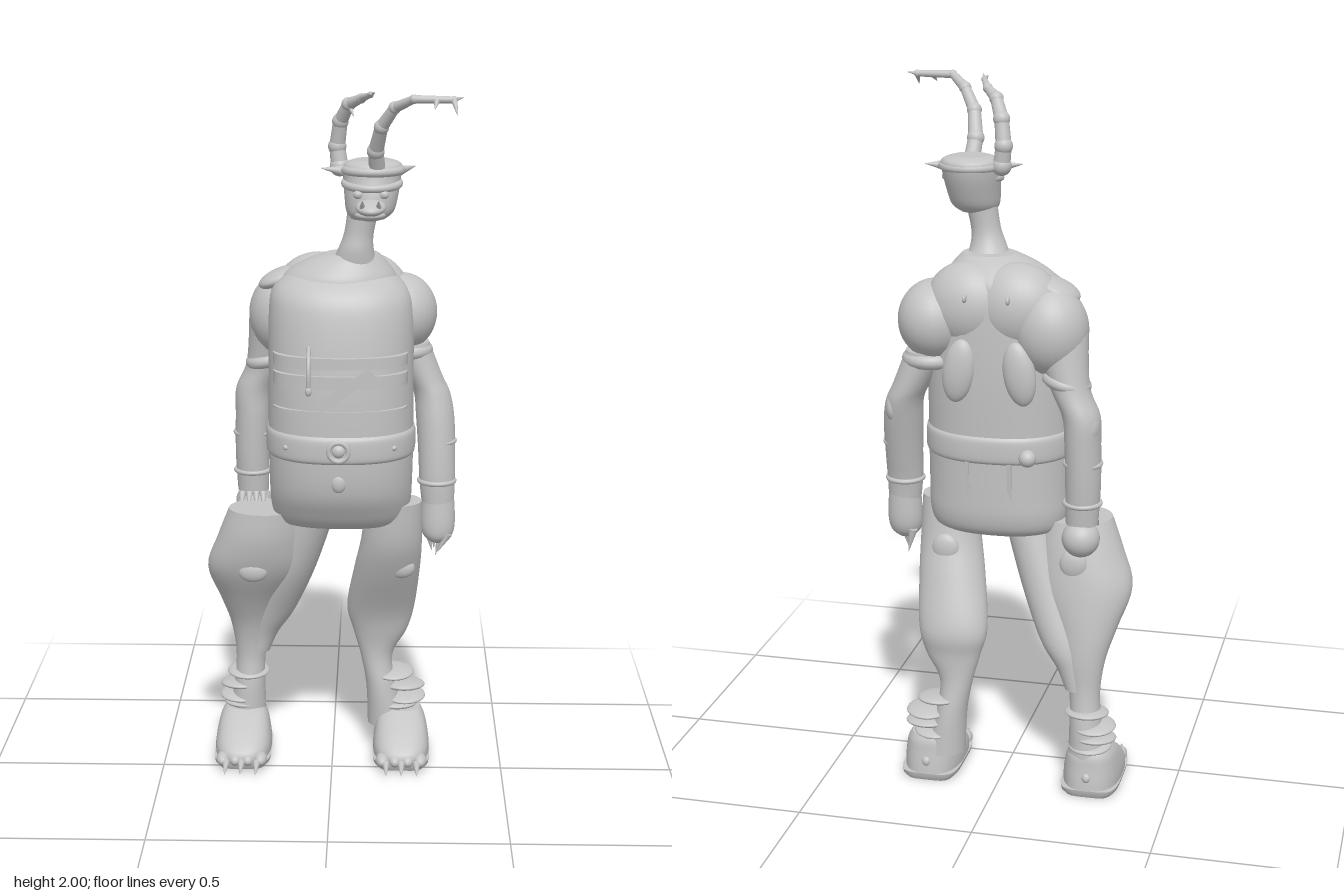
import * as THREE from 'three';

const V = (p) => new THREE.Vector3(p[0], p[1], p[2]);

// Closed body from cross-sections [y, centreX, centreZ, radiusX, radiusZ], rising in y
function loft(sections, power = 2, steps = 5, sides = 40) {
  const axis = [0, 1, 2, 3, 4];
  const rows = [];
  for (let i = 0; i < sections.length - 1; i++) {
    const s = [i - 1, i, i + 1, i + 2].map((k) => sections[Math.min(sections.length - 1, Math.max(0, k))]);
    for (let k = 0; k < steps; k++) {
      const t = k / steps;
      rows.push(axis.map((a) => {
        const m0 = (s[2][a] - s[0][a]) / 2, m1 = (s[3][a] - s[1][a]) / 2, d = s[2][a] - s[1][a];
        return s[1][a] + t * (m0 + t * (3 * d - 2 * m0 - m1 + t * (m0 + m1 - 2 * d)));
      }));
    }
  }
  rows.push(sections[sections.length - 1]);
  const pos = [], index = [];
  const round = (v) => Math.sign(v) * Math.abs(v) ** (2 / power);
  const ring = ([y, cx, cz, rx, rz]) => {
    for (let j = 0; j < sides; j++) {
      const a = (j / sides) * Math.PI * 2;
      pos.push(cx + rx * round(Math.cos(a)), y, cz + rz * round(Math.sin(a)));
    }
  };
  rows.forEach(ring);
  for (let i = 0; i < rows.length - 1; i++) for (let j = 0; j < sides; j++) {
    const a = i * sides + j, b = i * sides + ((j + 1) % sides);
    index.push(a, a + sides, b, b, a + sides, b + sides);
  }
  [rows[0], rows[rows.length - 1]].forEach((r, top) => {
    const base = pos.length / 3;
    ring(r);
    pos.push(r[1], r[0], r[2]);
    for (let j = 0; j < sides; j++) {
      const a = base + j, b = base + ((j + 1) % sides);
      index.push(base + sides, top ? b : a, top ? a : b);
    }
  });
  const g = new THREE.BufferGeometry();
  g.setAttribute('position', new THREE.Float32BufferAttribute(pos, 3));
  g.setIndex(index);
  g.computeVertexNormals();
  return g;
}

export function createModel() {
  const model = new THREE.Group();
  model.name = 'hornedCreature';
  const clay = new THREE.MeshStandardMaterial({ color: 0xc4c4c4 });
  clay.name = 'clay grey';

  const add = (name, geo, at = [0, 0, 0], rot = [0, 0, 0], scale = [1, 1, 1]) => {
    const m = new THREE.Mesh(geo, clay);
    m.name = name;
    m.position.set(...at);
    m.rotation.set(...rot);
    m.scale.set(...scale);
    model.add(m);
    return m;
  };
  const ball = (name, at, r, rot) => add(name, new THREE.SphereGeometry(1, 28, 20), at, rot, r);
  // Tapered segment between two points
  const bone = (name, p, q, r1, r2) => {
    const a = V(p), b = V(q), d = b.clone().sub(a);
    const m = add(name, new THREE.CylinderGeometry(r2, r1, d.length(), 16), a.clone().add(b).multiplyScalar(0.5).toArray());
    m.quaternion.setFromUnitVectors(new THREE.Vector3(0, 1, 0), d.normalize());
  };
  const claw = (name, p, q, r) => bone(name, p, q, r, 0.001);
  const hoop = (name, at, r, tube, rot = [Math.PI / 2, 0, 0]) =>
    add(name, new THREE.TorusGeometry(r, tube, 10, 36), at, rot);

  // Trunk, collar and back
  add('torso', loft([
    [0.745, 0.025, -0.065, 0.155, 0.085], [0.765, 0.025, -0.055, 0.186, 0.125], [0.81, 0.025, -0.045, 0.2, 0.15],
    [0.88, 0.025, -0.03, 0.204, 0.168], [1.0, 0.025, -0.025, 0.206, 0.175], [1.2, 0.025, -0.03, 0.205, 0.178],
    [1.37, 0.025, -0.04, 0.204, 0.165], [1.44, 0.022, -0.05, 0.188, 0.145], [1.485, 0.02, -0.06, 0.14, 0.1],
  ], 2.3));
  add('collar', loft([
    [1.42, 0.02, -0.06, 0.17, 0.13], [1.47, 0.02, -0.06, 0.16, 0.125],
    [1.51, 0.035, -0.055, 0.118, 0.095], [1.535, 0.055, -0.045, 0.075, 0.065],
  ]));
  add('neck', loft([
    [1.5, 0.062, -0.035, 0.068, 0.065], [1.55, 0.066, -0.015, 0.05, 0.05],
    [1.6, 0.075, -0.01, 0.041, 0.041], [1.68, 0.09, -0.01, 0.045, 0.045],
  ]));
  for (const s of [-1, 1]) {
    ball('upperBack', [0.025 + s * 0.065, 1.4, -0.115], [0.13, 0.125, 0.1]);
    ball('backPad', [0.02 + s * 0.085, 1.235, -0.2], [0.045, 0.09, 0.028], [0, 0, s * 0.15]);
    add('backStrip', new THREE.BoxGeometry(0.012, 0.13, 0.008), [0.025 + s * 0.06, 0.91, -0.192], [-0.1, 0, 0]);
    ball('backStud', [0.025 + s * 0.06, 1.44, -0.21], [0.006, 0.012, 0.012]);
  }
  ball('shoulderPad', [-0.15, 1.455, -0.1], [0.065, 0.025, 0.065], [0, 0, 0.4]);

  // Belt with buckle and studs
  add('belt', loft([
    [0.972, 0.025, -0.025, 0.206, 0.176], [0.985, 0.025, -0.025, 0.212, 0.184],
    [1.035, 0.025, -0.025, 0.212, 0.184], [1.05, 0.025, -0.025, 0.206, 0.176],
  ], 2.3));
  hoop('buckle', [0.022, 1.012, 0.163], 0.027, 0.007, [0, 0, 0]);
  ball('buckleBoss', [0.022, 1.012, 0.157], [0.018, 0.018, 0.012]);
  ball('navelStud', [0.022, 0.915, 0.139], [0.021, 0.027, 0.012]);
  for (const s of [-1, 1]) ball('beltStud', [0.025 + s * 0.15, 1.012, 0.11], [0.009, 0.009, 0.012]);
  ball('beltKnob', [-0.09, 1.0, -0.21], [0.024, 0.024, 0.024]);

  // Chest straps over the front only, diagonal strap and hook
  for (const [y, h] of [[1.258, 0.032], [1.205, 0.036], [1.12, 0.008]]) {
    add('chestStrap', loft([[y - h / 2, 0.025, 0.055, 0.188, 0.1], [y + h / 2, 0.025, 0.055, 0.188, 0.1]], 2.2, 1));
  }
  add('diagonalStrap', new THREE.BoxGeometry(0.18, 0.03, 0.01), [0.04, 1.185, 0.155], [0, 0, 0.62]);
  const hookPath = [[-0.06, 1.3, 0.13], [-0.06, 1.28, 0.17], [-0.06, 1.24, 0.188], [-0.06, 1.19, 0.186]].map(V);
  add('hook', new THREE.TubeGeometry(new THREE.CatmullRomCurve3(hookPath), 20, 0.006, 8));
  ball('hookTip', [-0.06, 1.19, 0.186], [0.009, 0.014, 0.009]);

  // Head: skull, snout, jaw, brow and brim
  add('skull', loft([
    [1.64, 0.1, 0.005, 0.048, 0.05], [1.66, 0.105, 0.0, 0.066, 0.072], [1.7, 0.108, -0.01, 0.074, 0.082],
    [1.75, 0.11, -0.025, 0.08, 0.084], [1.785, 0.112, -0.03, 0.08, 0.08], [1.798, 0.112, -0.03, 0.05, 0.05],
  ]));
  ball('snout', [0.107, 1.68, 0.075], [0.042, 0.02, 0.057], [0.15, 0, 0]);
  ball('jaw', [0.105, 1.655, 0.04], [0.045, 0.018, 0.045]);
  hoop('brim', [0.112, 1.77, -0.025], 0.078, 0.012);
  hoop('browRidge', [0.11, 1.735, -0.01], 0.075, 0.011, [Math.PI / 2 + 0.1, 0, 0]);
  for (const s of [-1, 1]) {
    ball('eye', [0.108 + s * 0.035, 1.712, 0.06], [0.014, 0.012, 0.01]);
    claw('earSpike', [0.11 + s * 0.065, 1.765, -0.02], [0.1 + s * 0.13, 1.775, s > 0 ? -0.065 : -0.01], 0.018);
    claw('tusk', [0.107 + s * 0.022, 1.685, 0.11], [0.107 + s * 0.022, 1.705, 0.133], 0.008);
  }

  // Jointed horns with a fork at the tip
  const horns = [
    [[0.125, 1.77, 0.03], [0.12, 1.83, 0.06], [0.135, 1.9, 0.105], [0.17, 1.955, 0.14], [0.22, 1.983, 0.195], [0.325, 1.982, 0.2]],
    [[0.02, 1.775, -0.05], [0.013, 1.83, -0.055], [0.022, 1.9, -0.04], [0.045, 1.95, -0.005], [0.08, 1.97, 0.04], [0.105, 1.985, 0.1]],
  ];
  horns.forEach((path, h) => {
    const radii = h ? [0.024, 0.022, 0.02, 0.017, 0.012, 0.007] : [0.023, 0.021, 0.018, 0.015, 0.011, 0.009];
    path.forEach((p, i) => {
      ball('hornJoint', p, Array(3).fill(radii[i] * 1.15));
      if (i) bone('hornSegment', path[i - 1], p, radii[i - 1], radii[i]);
    });
    const [x, y, z] = path[5];
    claw('hornTip', path[5], h ? [x, y + 0.005, z + 0.045] : [x + 0.008, y - 0.035, z + 0.045], 0.009);
    claw('hornFork', path[5], h ? [x + 0.012, y + 0.01, z + 0.04] : [x + 0.025, y + 0.005, z - 0.012], 0.007);
    const b = path[3];
    claw('hornThorn', h ? b : [0.28, 1.98, 0.2], h ? [b[0] + 0.015, b[1] - 0.03, b[2] + 0.03] : [0.275, 1.96, 0.225], 0.009);
  });

  // Left arm: round shoulder, cuff, forearm, clawed hand
  ball('leftShoulder', [0.195, 1.355, -0.11], [0.102, 0.112, 0.115]);
  hoop('leftCuff', [0.205, 1.245, -0.115], 0.062, 0.02);
  add('leftArm', loft([
    [0.8, 0.305, -0.058, 0.046, 0.043], [0.87, 0.302, -0.062, 0.051, 0.048], [0.95, 0.3, -0.075, 0.053, 0.056],
    [1.05, 0.295, -0.095, 0.055, 0.064], [1.12, 0.285, -0.11, 0.052, 0.067], [1.17, 0.262, -0.115, 0.052, 0.067],
    [1.27, 0.215, -0.115, 0.06, 0.067],
  ]));
  ball('leftElbow', [0.31, 1.1, -0.125], [0.025, 0.05, 0.045]);
  add('leftHand', loft([
    [0.69, 0.305, -0.05, 0.02, 0.022], [0.71, 0.305, -0.052, 0.042, 0.04],
    [0.75, 0.305, -0.056, 0.05, 0.047], [0.83, 0.305, -0.06, 0.046, 0.043],
  ]));
  // Right arm: set further back, ending in a round fist
  ball('rightShoulder', [-0.135, 1.345, -0.125], [0.105, 0.125, 0.105]);
  hoop('rightCuff', [-0.185, 1.21, -0.148], 0.052, 0.018, [Math.PI / 2, 0.25, 0]);
  add('rightArm', loft([
    [0.81, -0.235, -0.165, 0.045, 0.045], [0.92, -0.237, -0.165, 0.049, 0.056], [1.04, -0.235, -0.165, 0.05, 0.062],
    [1.12, -0.23, -0.165, 0.052, 0.062], [1.2, -0.195, -0.155, 0.055, 0.06], [1.34, -0.165, -0.13, 0.075, 0.07],
  ]));
  ball('rightElbow', [-0.26, 1.09, -0.17], [0.025, 0.05, 0.045]);
  ball('rightFist', [-0.235, 0.77, -0.18], [0.053, 0.053, 0.053]);
  for (const y of [0.87, 0.985]) {
    hoop('leftBracelet', [0.301, y, -0.063 - (y - 0.87) * 0.16], 0.05, 0.007);
    hoop('rightBracelet', [-0.236, y, -0.165], 0.049, 0.007);
  }
  for (let i = 0; i < 4; i++) {
    const x = 0.275 + i * 0.02, z = -0.085 + i * 0.02;
    claw('leftFinger', [x, 0.72, z], [0.29 + i * 0.005, 0.65 + (i % 2) * 0.015, z], 0.013);
    claw('rightFinger', [-0.265 + i * 0.02, 0.81, -0.125], [-0.268 + i * 0.022, 0.775, -0.095], 0.011);
  }

  // Legs
  add('leftLeg', loft([
    [0.08, 0.165, -0.165, 0.06, 0.06], [0.2, 0.145, -0.162, 0.045, 0.055], [0.3, 0.13, -0.16, 0.048, 0.042],
    [0.38, 0.14, -0.155, 0.08, 0.047], [0.46, 0.142, -0.145, 0.1, 0.063], [0.6, 0.16, -0.083, 0.096, 0.076],
    [0.7, 0.172, -0.045, 0.088, 0.077], [0.82, 0.178, -0.025, 0.08, 0.07],
  ]));
  add('rightLeg', loft([
    [0.08, -0.262, -0.165, 0.06, 0.06], [0.2, -0.252, -0.162, 0.047, 0.055], [0.3, -0.247, -0.16, 0.044, 0.043],
    [0.4, -0.242, -0.15, 0.062, 0.052], [0.49, -0.242, -0.125, 0.09, 0.07], [0.6, -0.228, -0.085, 0.138, 0.095],
    [0.7, -0.21, -0.06, 0.124, 0.1], [0.79, -0.195, -0.045, 0.104, 0.088],
  ]));
  add('rightInnerLeg', loft([
    [0.31, -0.225, -0.16, 0.035, 0.04], [0.37, -0.21, -0.155, 0.046, 0.045], [0.45, -0.175, -0.14, 0.063, 0.06],
    [0.6, -0.12, -0.095, 0.072, 0.075], [0.8, -0.055, -0.055, 0.072, 0.075],
  ]));
  ball('leftKneecap', [0.2, 0.615, -0.025], [0.04, 0.032, 0.02]);
  ball('rightKneecap', [-0.228, 0.61, 0.006], [0.042, 0.032, 0.018]);
  ball('leftThighPad', [0.17, 0.68, -0.115], [0.04, 0.045, 0.02]);
  ball('rightThighPad', [-0.21, 0.68, -0.155], [0.04, 0.045, 0.02]);

  // Feet with sole, toes, claws and ankle bands
  const foot = (side, cx, bandX) => {
    const w = 0.083;
    add(side + 'Foot', loft([
      [0.02, cx, -0.1, w, 0.135], [0.05, cx, -0.102, w, 0.13], [0.085, cx, -0.122, w * 0.93, 0.105],
      [0.115, cx, -0.145, w * 0.82, 0.078], [0.135, cx, -0.16, w * 0.66, 0.055],
    ], 2.6));
    add(side + 'Sole', loft([
      [0, cx, -0.1, w * 0.87, 0.127], [0.012, cx, -0.1, w, 0.134], [0.024, cx, -0.1, w + 0.002, 0.136],
    ], 4.5, 1));
    for (let i = -1.5; i < 2; i++) ball(side + 'Toe', [cx + i * 0.037, 0.028, 0.012], [0.02, 0.02, 0.033]);
    for (let i = -1; i < 2; i++) claw(side + 'Claw', [cx + i * 0.045, 0.025, 0.035], [cx + i * 0.045, 0.016, 0.1], 0.011);
    ball(side + 'HeelStud', [cx, 0.06, -0.225], [0.013, 0.015, 0.013]);
    [0.14, 0.165, 0.2, 0.24].forEach((y, i) =>
      ball(side + 'AnkleBand', [bandX[i], y, -0.166], [0.063, 0.014, 0.063], [i % 2 ? 0.08 : -0.08, 0, 0]));
  };
  foot('left', 0.205, [0.19, 0.215, 0.213, 0.18]);
  foot('right', -0.267, [-0.265, -0.278, -0.276, -0.255]);

  return model;
}
